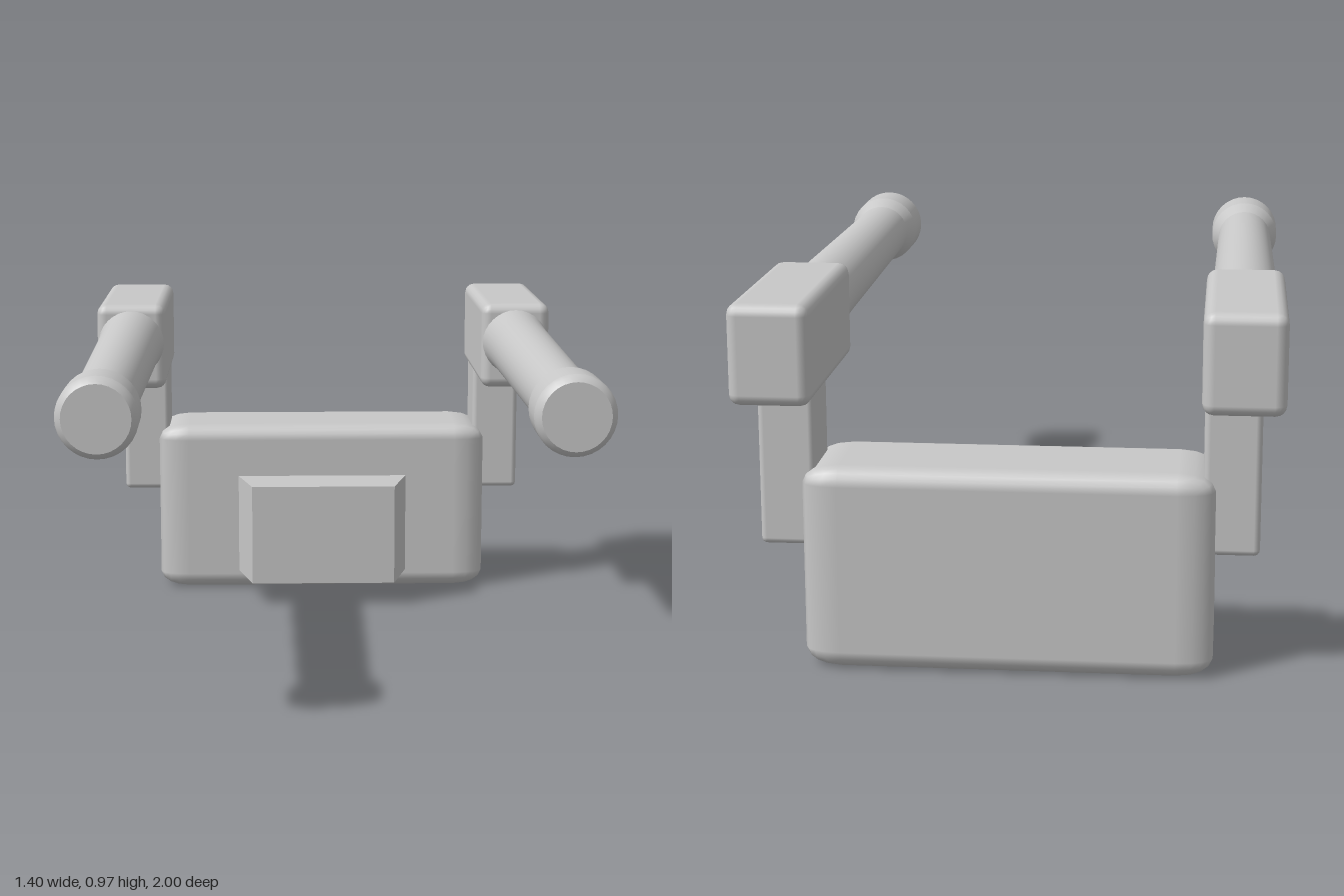
import * as THREE from 'three';
import { RoundedBoxGeometry } from 'three/addons/geometries/RoundedBoxGeometry.js';

export function createModel() {
  const grey = new THREE.MeshStandardMaterial({ color: 0xc8c8c8 });
  grey.name = 'light grey';
  const model = new THREE.Group();
  model.name = 'twinBarrelMount';

  function add(parent, name, geometry, x, y, z) {
    const mesh = new THREE.Mesh(geometry, grey);
    mesh.name = name;
    mesh.position.set(x, y, z);
    parent.add(mesh);
    return mesh;
  }

  // Main housing: stretched along x so the end bevels are longer than the others
  const housing = new RoundedBoxGeometry(0.528, 0.54, 0.32, 2, 0.048);
  housing.scale(2, 1, 1);
  add(model, 'housing', housing, 0, 0.27, -0.81);

  // Free-standing block ahead of the housing, narrower toward the front
  const trapezoid = new THREE.Shape([
    new THREE.Vector2(-0.27, 0.6), new THREE.Vector2(-0.225, 0.42),
    new THREE.Vector2(0.225, 0.42), new THREE.Vector2(0.27, 0.6),
  ]);
  const block = new THREE.ExtrudeGeometry(trapezoid, { depth: 0.313, bevelEnabled: false });
  block.rotateX(-Math.PI / 2);
  add(model, 'frontBlock', block, 0, 0.072, 0);

  // Barrel outline as [radius, z], split where the edges are sharp
  const barrelProfiles = {
    barrelTube: [[0.101, -0.42], [0.1, -0.38], [0.096, -0.33], [0.093, -0.2], [0.083, 0.8]],
    muzzleFlare: [[0.083, 0.8], [0.104, 0.85]],
    muzzleRing: [[0.104, 0.85], [0.105, 0.975]],
    muzzleBevel: [[0.105, 0.975], [0.1, 0.99], [0.088, 1]],
    muzzleCap: [[0.088, 1], [0, 1]],
  };

  for (const side of [-1, 1]) {
    const arm = new THREE.Group();
    arm.name = side < 0 ? 'rightArm' : 'leftArm';
    model.add(arm);

    // Upright post and the receiver it carries
    add(arm, 'post', new RoundedBoxGeometry(0.146, 0.43, 0.19, 2, 0.016), side * 0.569, 0.535, -0.82);
    add(arm, 'receiver', new RoundedBoxGeometry(0.21, 0.262, 0.622, 2, 0.03), side * 0.594, 0.835, -0.689);

    // Barrel, turned around the z axis
    for (const [name, profile] of Object.entries(barrelProfiles)) {
      const points = profile.map(([r, z]) => new THREE.Vector2(r, z));
      const geometry = new THREE.LatheGeometry(points, 32);
      geometry.rotateX(Math.PI / 2);
      add(arm, name, geometry, side * 0.594, 0.847, 0);
    }
  }
  return model;
}
